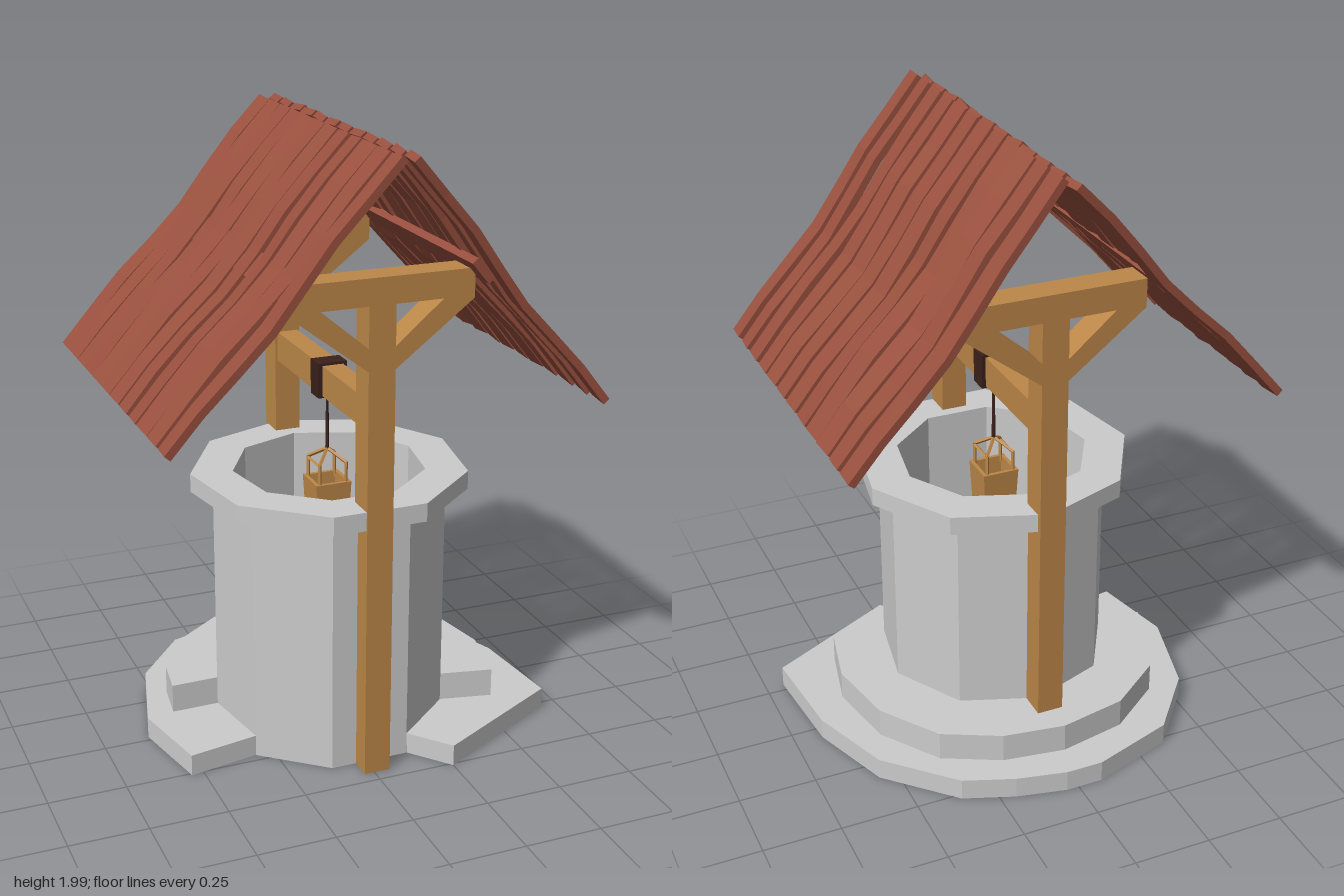
import * as THREE from 'three';

const material = (color) => new THREE.MeshStandardMaterial({ color, flatShading: true, side: THREE.DoubleSide });
const rad = THREE.MathUtils.degToRad;

// Small seeded generator, returns values in -1..1
function seeded(seed) {
  return () => {
    seed = (seed * 16807) % 2147483647;
    return (seed / 2147483647) * 2 - 1;
  };
}

export function createModel() {
  const model = new THREE.Group();
  const stone = material(0xcccccc);
  const wood = material(0xbc8748);
  const tile = material(0x99503e);
  const iron = material(0x3a211b);
  const CX = 0.014, CZ = 0.032; // axis of the well

  const add = (name, geometry, mat, x = 0, y = 0, z = 0, parent = model) => {
    const mesh = new THREE.Mesh(geometry, mat);
    mesh.name = name;
    mesh.position.set(x, y, z);
    parent.add(mesh);
    return mesh;
  };
  // Box given by its min and max corners
  const block = (name, mat, a, b, parent) => add(
    name, new THREE.BoxGeometry(b[0] - a[0], b[1] - a[1], b[2] - a[2]), mat,
    (a[0] + b[0]) / 2, (a[1] + b[1]) / 2, (a[2] + b[2]) / 2, parent);

  // Nine-sided well with a rim, hollow above and below its floor
  const profile = [
    [0.375, 0], [0.375, 0.83], [0.446, 0.83], [0.446, 0.89], [0.31, 0.89],
    [0.31, 0.2], [0, 0.2], [0, 0.19], [0.31, 0.19], [0.365, 0], [0.375, 0],
  ].map(([r, y]) => new THREE.Vector2(r, y));
  add('wellWall', new THREE.LatheGeometry(profile, 9, rad(20)), stone, CX, 0, CZ);

  // Steps wrapping the back: outer outline in x,z, inner edge along the wall
  const step = (name, outer, from, to, y, height) => {
    const points = outer.map(([x, z]) => new THREE.Vector2(x, -z));
    for (let a = to; a >= from; a -= 40) {
      points.push(new THREE.Vector2(CX + 0.37 * Math.sin(rad(a)), -(CZ + 0.37 * Math.cos(rad(a)))));
    }
    const geometry = new THREE.ExtrudeGeometry(new THREE.Shape(points), { depth: height, bevelEnabled: false });
    add(name, geometry.rotateX(-Math.PI / 2), stone, 0, y, 0);
  };
  step('lowerStep', [
    [0.25, 0.51], [0.69, 0.28], [0.66, -0.05], [0.56, -0.32], [0.36, -0.52], [0.2, -0.58],
    [0.04, -0.615], [-0.08, -0.615], [-0.35, -0.525], [-0.52, -0.32], [-0.6, -0.02], [-0.54, 0.26],
  ], 20, 300, 0, 0.07);
  step('upperStep', [
    [0.51, 0.255], [0.556, 0.04], [0.51, -0.2], [0.38, -0.39], [0.2, -0.48], [0, -0.51],
    [-0.22, -0.465], [-0.4, -0.33], [-0.49, -0.17], [-0.51, -0.03],
  ], 60, 260, 0.07, 0.095);

  // Post and braced top bar cut as one outline with two triangular openings
  const P0 = -0.033, P1 = 0.052;
  const frame = new THREE.Shape([
    [P0, 0], [P1, 0], [P1, 1.33], [0.302, 1.52], [0.302, 1.61], [-0.28, 1.61], [-0.28, 1.52], [P0, 1.33],
  ].map((p) => new THREE.Vector2(...p)));
  for (const [x, s] of [[P0, -1], [P1, 1]]) {
    frame.holes.push(new THREE.Path([
      [x, 1.4], [x, 1.527], [x + s * 0.15, 1.527],
    ].map((p) => new THREE.Vector2(...p))));
  }
  const frameGeometry = new THREE.ExtrudeGeometry(frame, { depth: 0.095, bevelEnabled: false });
  add('frontPost', frameGeometry, wood, 0, 0, 0.361);
  add('backPost', frameGeometry, wood, 0, 0, -0.418);
  block('crossBeam', wood, [-0.025, 1.137, -0.33], [0.045, 1.235, 0.37]);

  // Roof planks, each a long box bent by a gentle wave
  const random = seeded(77);
  const roof = new THREE.Group();
  roof.name = 'roof';
  model.add(roof);
  const slopes = [
    { side: 'left', ridge: [0.03, 1.98], eave: [0.68, 1.2], z0: -0.5, z1: 0.565, out: 1 },
    { side: 'right', ridge: [0.015, 1.97], eave: [-0.688, 1.207], z0: -0.485, z1: 0.57, out: -1 },
  ];
  for (const { side, ridge, eave, z0, z1, out } of slopes) {
    const dx = eave[0] - ridge[0], dy = eave[1] - ridge[1];
    const length = Math.hypot(dx, dy), angle = Math.atan2(dy, dx);
    for (let i = 0; i < 12; i++) {
      const geometry = new THREE.BoxGeometry(length, 0.024, 0.083, 7, 1, 1).translate(length / 2, 0, 0);
      const pos = geometry.attributes.position;
      const phase = random() * 0.7, amp = 0.012 + 0.004 * random();
      const sway = 0.006 * random(), tilt = 0.12 * random();
      for (let k = 0; k < pos.count; k++) {
        const t = pos.getX(k) / length, w = pos.getZ(k);
        const wave = amp * Math.sin(9 * t + phase) * Math.sin(Math.PI * t);
        // right planks drift backward at the ridge, left ones forward
        const drift = out > 0 ? 0.03 * (1 - t) ** 2 - 0.012 * Math.sin(Math.PI * t) : -0.022 * (1 - t) ** 2;
        pos.setY(k, pos.getY(k) + out * wave + w * tilt);
        pos.setZ(k, w * (1 + 0.06 * Math.sin(7 * t + phase * 4)) + drift + sway * Math.sin(6 * t + phase));
      }
      const plank = add(`${side}RoofPlank`, geometry, tile, ridge[0], ridge[1], z0 + (z1 - z0) * i / 11, roof);
      plank.rotation.z = angle;
    }
    // Batten under the planks
    const batten = add(`${side}RoofBatten`, new THREE.BoxGeometry(0.085, 0.024, 0.98), tile,
      out > 0 ? 0.296 : -0.293, 1.615, 0.03, roof);
    batten.rotation.z = angle;
  }

  // Iron bracket around the beam and the rope below it
  block('ropeBracket', iron, [-0.038, 1.13, 0.01], [0.058, 1.243, 0.075]);
  add('rope', new THREE.CylinderGeometry(0.004, 0.007, 0.2, 5), iron, 0.012, 1.04, 0.024);

  // Open bucket with peaked handles
  const bucket = new THREE.Group();
  bucket.name = 'bucket';
  bucket.position.set(0.012, 0, 0.024);
  model.add(bucket);
  const bucketProfile = [[0, 0.69], [0.075, 0.69], [0.085, 0.84], [0.068, 0.84], [0.06, 0.71], [0, 0.71]]
    .map(([r, y]) => new THREE.Vector2(r, y));
  add('bucketBody', new THREE.LatheGeometry(bucketProfile, 4, Math.PI / 4), wood, 0, 0, 0, bucket);
  const rod = (name, a, b) => {
    const start = new THREE.Vector3(...a), end = new THREE.Vector3(...b);
    add(name, new THREE.TubeGeometry(new THREE.LineCurve3(start, end), 1, 0.006, 4), wood, 0, 0, 0, bucket);
  };
  for (const x of [-0.045, 0.045]) {
    for (const z of [-0.05, 0.05]) {
      rod('handleUpright', [x, 0.82, z], [x, 0.905, z]);
      rod('handleArm', [x, 0.905, z], [0, 0.942, 0]);
    }
    rod('handleBar', [x, 0.9, -0.05], [x, 0.9, 0.05]);
  }

  return model;
}
